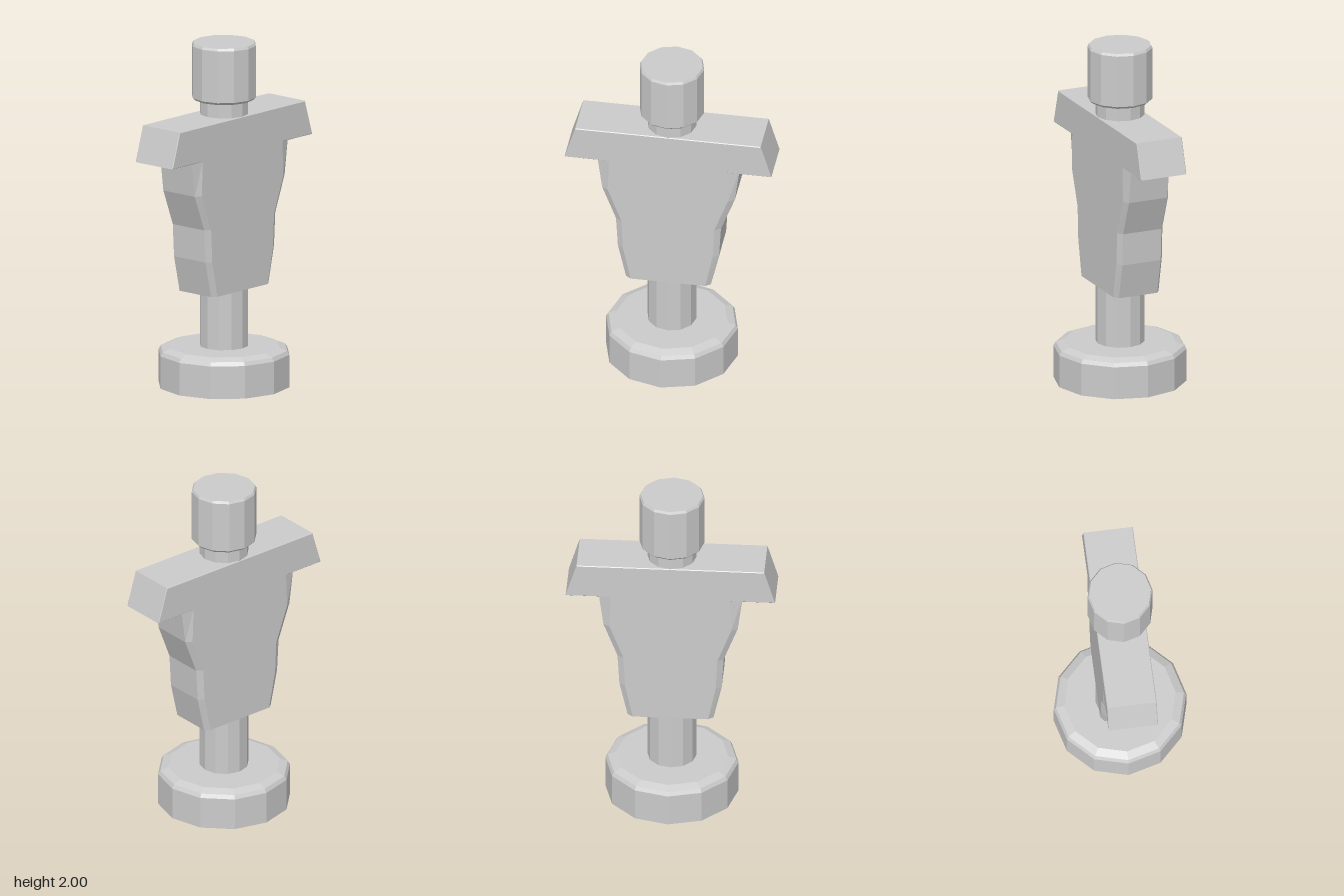
import * as THREE from 'three';

export function createModel() {
  const group = new THREE.Group();
  const material = new THREE.MeshStandardMaterial({ color: 0xcccccc, flatShading: true });

  function add(name, geometry) {
    const mesh = new THREE.Mesh(geometry, material);
    mesh.name = name;
    group.add(mesh);
  }

  // Twelve-sided turned part from [radius, height] pairs, bottom to top
  const turned = (points) =>
    new THREE.LatheGeometry(points.map(([r, y]) => new THREE.Vector2(r, y)), 12);

  // Round foot with a softened top rim
  add('base', turned([[0, 0], [0.38, 0], [0.38, 0.19], [0.367, 0.212], [0.32, 0.23], [0, 0.23]]));

  // Posts below and above the torso
  add('post', turned([[0, 0.2], [0.14, 0.2], [0.14, 0.62], [0, 0.62]]));
  add('neck', turned([[0, 1.54], [0.14, 1.54], [0.14, 1.7], [0, 1.7]]));

  // Drum-shaped head with small chamfers
  add('head', turned([
    [0, 1.67], [0.172, 1.67], [0.186, 1.684], [0.186, 1.986], [0.178, 2], [0, 2],
  ]));

  // Torso: eight-sided sections [height, half depth, chamfer depth]
  const sections = [
    [0.57, 0.245, 0.03], [0.78, 0.292, 0.033], [0.97, 0.303, 0.035],
    [1.18, 0.383, 0.036], [1.385, 0.41, 0.07],
  ];
  const halfWidth = 0.142;
  const position = [];
  const index = [];
  for (const [y, z, c] of sections) {
    const inner = 0.12;
    const corners = [
      [inner, z], [halfWidth, z - c], [halfWidth, c - z], [inner, -z],
      [-inner, -z], [-halfWidth, c - z], [-halfWidth, z - c], [-inner, z],
    ];
    for (const [x, cz] of corners) position.push(x, y, cz);
  }
  for (let s = 0; s < sections.length - 1; s++) {
    for (let i = 0; i < 8; i++) {
      const a = s * 8 + i;
      const b = s * 8 + ((i + 1) % 8);
      index.push(a, b, b + 8, a, b + 8, a + 8);
    }
  }
  // Torso end caps
  const last = (sections.length - 1) * 8;
  for (let i = 1; i < 7; i++) {
    index.push(0, i + 1, i, last, last + i, last + i + 1);
  }
  const torso = new THREE.BufferGeometry();
  torso.setAttribute('position', new THREE.Float32BufferAttribute(position, 3));
  torso.setIndex(index);
  torso.computeVertexNormals();
  add('torso', torso);

  // Shoulder bar: trapezoid running front to back, with fine edge bevels
  const bevel = 0.004;
  const outline = new THREE.Shape([
    new THREE.Vector2(-0.597, 1.38), new THREE.Vector2(0.597, 1.38),
    new THREE.Vector2(0.535, 1.585), new THREE.Vector2(-0.535, 1.585),
  ]);
  const depth = 2 * (halfWidth - bevel);
  const shoulders = new THREE.ExtrudeGeometry(outline, {
    depth, bevelEnabled: true, bevelSize: bevel, bevelOffset: -bevel,
    bevelThickness: bevel, bevelSegments: 1,
  });
  shoulders.translate(0, 0, -depth / 2).rotateY(Math.PI / 2);
  add('shoulders', shoulders);

  return group;
}
